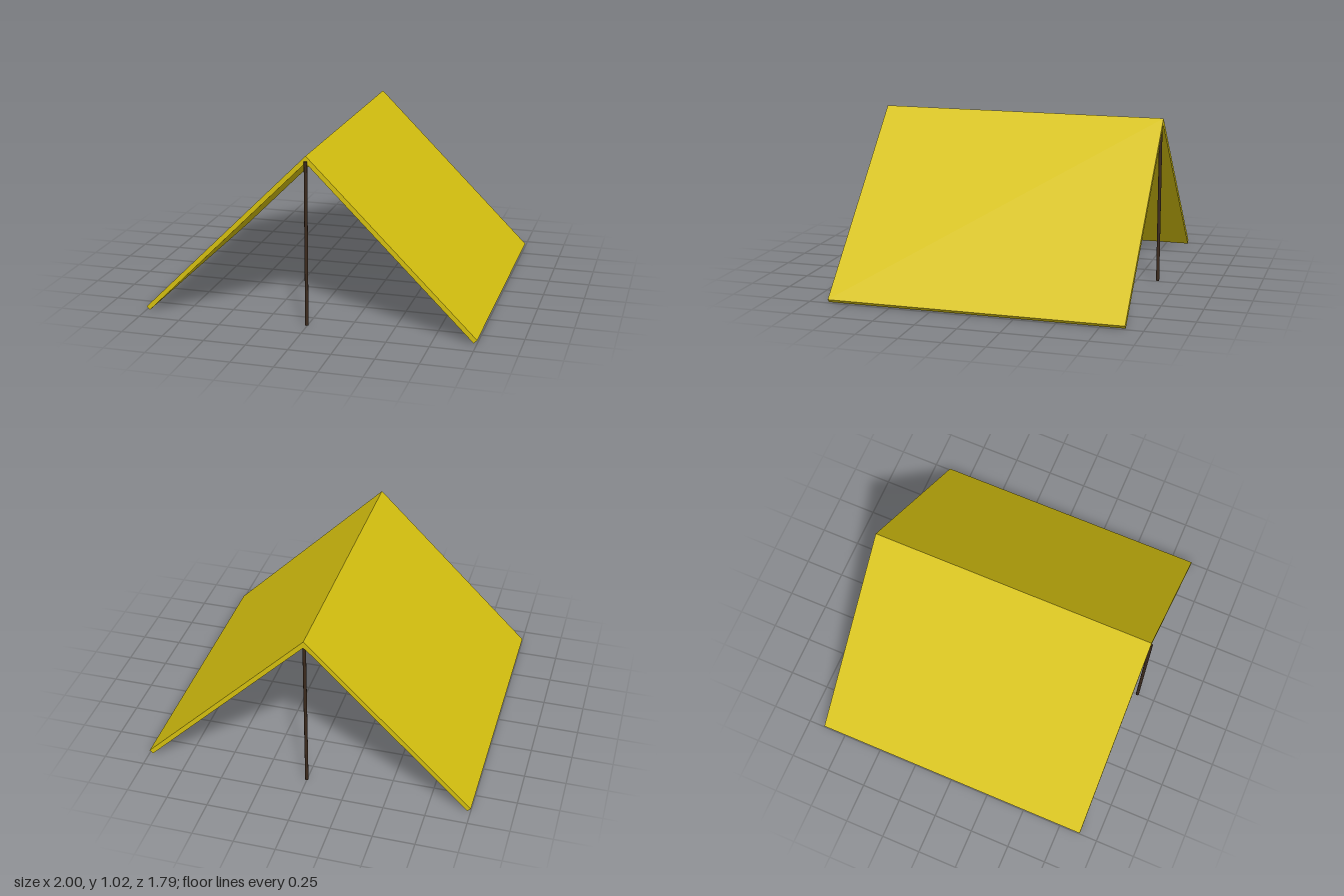
import * as THREE from 'three';

export function createModel() {
  const tent = new THREE.Group();
  tent.name = 'tent';

  const canvas = new THREE.MeshStandardMaterial({ color: 0xd6c10f, flatShading: true });
  const wood = new THREE.MeshStandardMaterial({ color: 0x3a291c });

  // Sloping canvas panels, mitred where they meet at the ridge
  const backEdge = -0.895;
  const depth = 1.78;
  for (const [name, side] of [['leftPanel', 1], ['rightPanel', -1]]) {
    const profile = new THREE.Shape([
      new THREE.Vector2(0, 1.02),
      new THREE.Vector2(side * 1.0, 0.02),
      new THREE.Vector2(side * 0.98, 0),
      new THREE.Vector2(0, 0.98),
    ]);
    const geometry = new THREE.ExtrudeGeometry(profile, { depth, bevelEnabled: false });
    const panel = new THREE.Mesh(geometry, canvas);
    panel.name = name;
    panel.position.z = backEdge;
    tent.add(panel);
  }

  // Upright poles under each end of the ridge
  const bottom = 0.006;
  const top = 0.988;
  const poleGeometry = new THREE.CylinderGeometry(0.01, 0.01, top - bottom, 16);
  for (const [name, z] of [['frontPole', 0.885], ['backPole', -0.88]]) {
    const pole = new THREE.Mesh(poleGeometry, wood);
    pole.name = name;
    pole.position.set(0, (top + bottom) / 2, z);
    tent.add(pole);
  }

  return tent;
}
